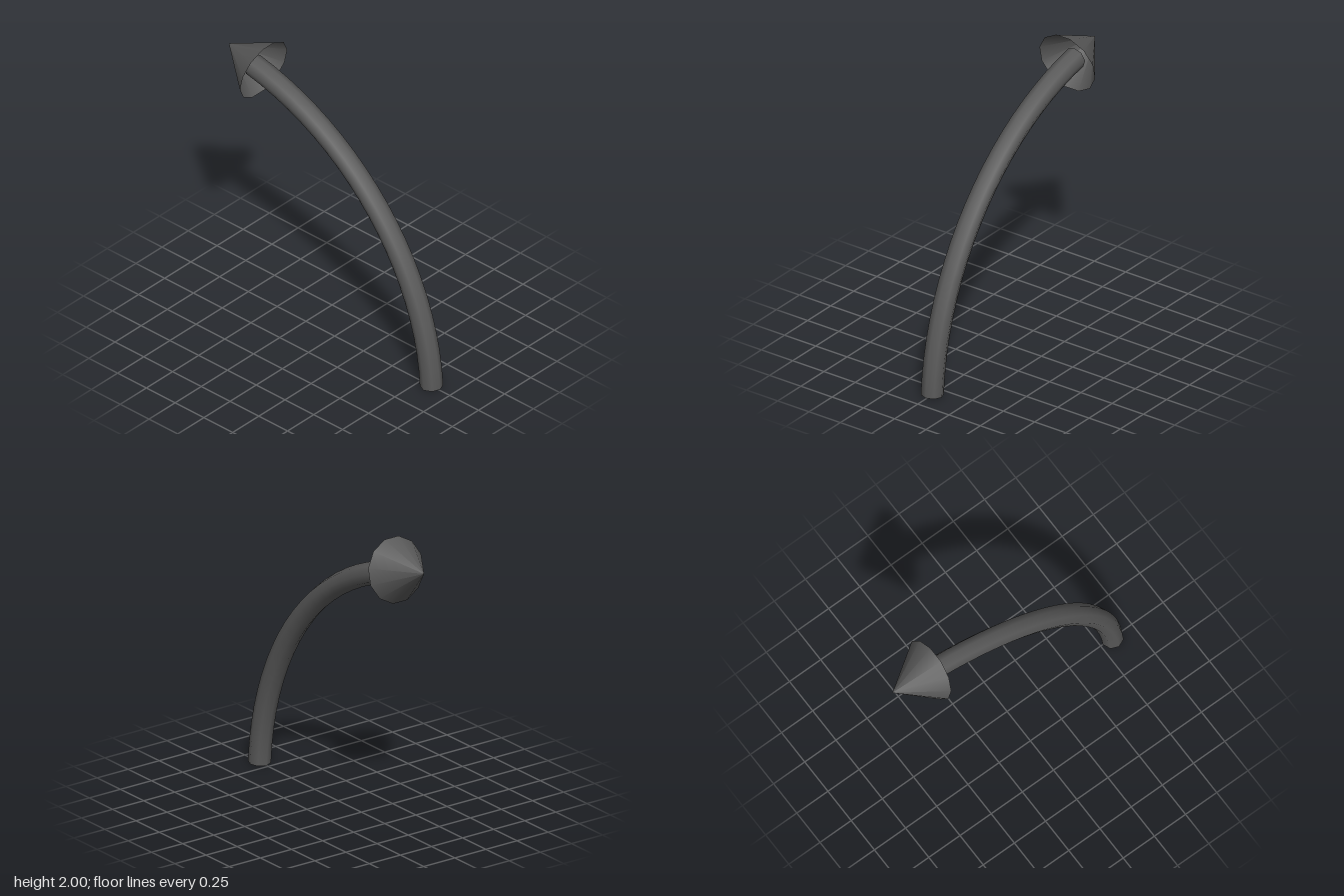
import * as THREE from 'three';

const RADIUS = 1.93; // bend of the shaft
const THICKNESS = 0.075;
const START = 0.054; // angles along the bend
const END = THREE.MathUtils.degToRad(78.8);

export function createModel() {
  const group = new THREE.Group();
  const material = new THREE.MeshStandardMaterial({ color: 0x595959, side: THREE.DoubleSide });
  const add = (name, geometry, parent) => {
    const mesh = new THREE.Mesh(geometry, material);
    mesh.name = name;
    parent.add(mesh);
    return mesh;
  };

  // Curved shaft: an eight-sided arc closed at both ends
  const shaft = new THREE.Group();
  shaft.name = 'shaft';
  shaft.position.set(-1.085, -0.1, 0);
  shaft.rotation.z = START;
  group.add(shaft);
  const arc = END - START;
  add('shaftArc', new THREE.TorusGeometry(RADIUS, THICKNESS, 8, 20, arc), shaft);
  for (const [name, angle, turn] of [['shaftFoot', 0, Math.PI / 2], ['shaftTip', arc, -Math.PI / 2]]) {
    const cap = new THREE.CircleGeometry(THICKNESS, 8);
    cap.rotateX(turn).translate(RADIUS, 0, 0).rotateZ(angle);
    add(name, cap, shaft);
  }

  // Hollow arrowhead, open towards the shaft
  const head = add('arrowHead', new THREE.ConeGeometry(0.22, 0.31, 12, 1, true, Math.PI / 12), group);
  head.position.set(-0.769, 1.826, 0);
  head.rotation.z = THREE.MathUtils.degToRad(77.5);

  return group;
}
